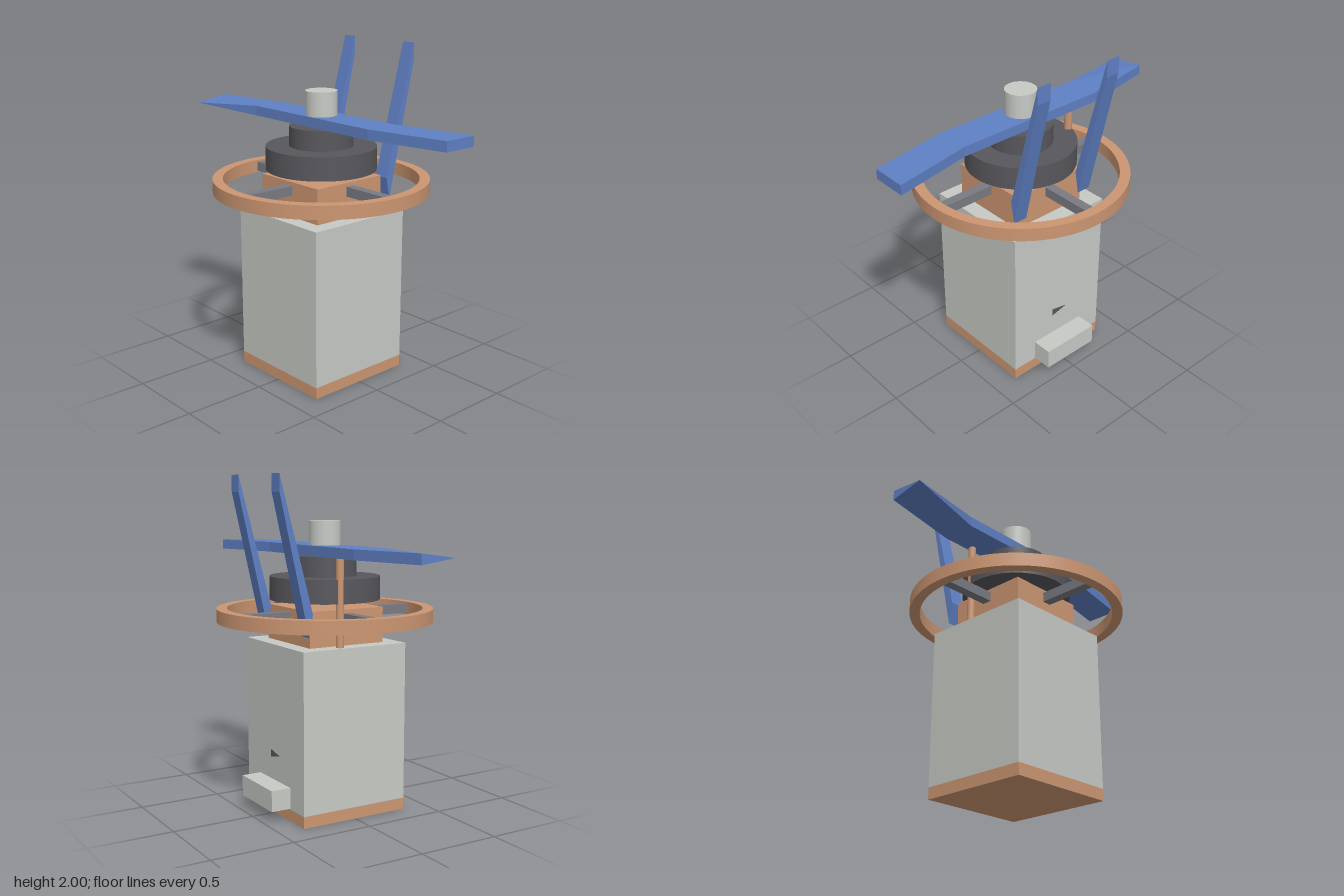
import * as THREE from 'three';

const material = (name, color, side = THREE.FrontSide) => {
  const m = new THREE.MeshStandardMaterial({ color, side });
  m.name = name;
  return m;
};

// Rotor blade lofted through four cross-sections; one tip corner is pinched to an edge
function bladeGeometry(low, high) {
  const mid = (low + high) / 2;
  // x, back z, front z, front top y, front bottom y
  const sections = [
    [-0.98, -0.02, 0.2, mid, mid],
    [-0.49, -0.11, 0.1, high, low],
    [0.49, -0.11, 0.1, high, low],
    [0.98, -0.205, 0.01, high, low],
  ].map(([x, back, front, top, bottom]) => [
    [x, high, back], [x, top, front], [x, bottom, front], [x, low, back],
  ]);
  const points = [];
  const face = (...corners) => corners.forEach((c) => points.push(...c));
  for (let s = 0; s < 3; s++) {
    for (let k = 0; k < 4; k++) {
      const n = (k + 1) % 4;
      const a = sections[s][k], b = sections[s][n];
      const c = sections[s + 1][n], d = sections[s + 1][k];
      if (k === 2) { face(a, b, d); face(b, c, d); }
      else { face(a, b, c); face(a, c, d); }
    }
  }
  const [p, q] = [sections[0], sections[3]];
  face(p[0], p[2], p[1]); face(p[0], p[3], p[2]);
  face(q[0], q[1], q[2]); face(q[0], q[2], q[3]);
  const g = new THREE.BufferGeometry();
  g.setAttribute('position', new THREE.Float32BufferAttribute(points, 3));
  g.computeVertexNormals();
  return g;
}

const polygon = (pts) => new THREE.Shape(pts.map(([x, y]) => new THREE.Vector2(x, y)));

export function createModel() {
  const model = new THREE.Group();
  model.name = 'rotorMachine';

  const paleGrey = material('paleGrey', 0xc6c9c4);
  const copper = material('copper', 0xcc9672);
  const blue = material('blue', 0x5f80c4);
  const darkGrey = material('darkGrey', 0x58575c);
  const midGrey = material('midGrey', 0x7a7b82);

  const add = (name, geometry, mat, x = 0, y = 0, z = 0, parent = model) => {
    const mesh = new THREE.Mesh(geometry, mat);
    mesh.name = name;
    mesh.position.set(x, y, z);
    parent.add(mesh);
    return mesh;
  };
  const box = (name, mat, w, y0, y1, d, x = 0, z = 0, parent = model) =>
    add(name, new THREE.BoxGeometry(w, y1 - y0, d), mat, x, (y0 + y1) / 2, z, parent);
  const cylinder = (name, mat, r, y0, y1, x = 0, z = 0) =>
    add(name, new THREE.CylinderGeometry(r, r, y1 - y0, 64), mat, x, (y0 + y1) / 2, z);

  // Square tower
  box('base', copper, 0.694, 0, 0.07, 0.694);
  box('body', paleGrey, 0.694, 0.07, 1.02, 0.694);
  box('neckBlock', copper, 0.5, 1.02, 1.23, 0.5);
  box('rearStep', paleGrey, 0.376, 0.075, 0.2, 0.123, 0, -0.4085);

  // Small triangular mark above the rear step
  const mark = new THREE.ExtrudeGeometry(
    polygon([[0.045, 0.335], [0.045, 0.38], [-0.06, 0.36]]),
    { depth: 0.004, bevelEnabled: false });
  add('rearMark', mark, darkGrey, 0, 0, -0.35);

  // Guard ring with a square-edged section
  const ringProfile = [[0.585, 1.14], [0.647, 1.14], [0.647, 1.22], [0.585, 1.22], [0.585, 1.14]];
  const ring = new THREE.Group();
  ring.name = 'guardRing';
  model.add(ring);
  for (let i = 0; i < 4; i++) {
    // one band per side keeps the edges sharp
    const band = ringProfile.slice(i, i + 2).map(([r, y]) => new THREE.Vector2(r, y));
    add('ringBand', new THREE.LatheGeometry(band, 96), copper, 0, 0, 0, ring);
  }

  // Four spokes from the neck to the ring
  for (let i = 0; i < 4; i++) {
    const arm = new THREE.Group();
    arm.name = 'spokeArm';
    arm.rotation.y = (i * Math.PI) / 2;
    model.add(arm);
    box('spoke', midGrey, 0.058, 1.15, 1.208, 0.35, 0, 0.42, arm);
  }

  // Rotor stack
  cylinder('rotorDisc', darkGrey, 0.33, 1.27, 1.41);
  cylinder('rotorHub', darkGrey, 0.19, 1.41, 1.53);
  add('blade', bladeGeometry(1.53, 1.59), blue);
  cylinder('hubCap', paleGrey, 0.094, 1.59, 1.735);
  cylinder('sideRod', copper, 0.023, 1.02, 1.53, -0.302, -0.082);

  // Pair of slanted rear struts
  const strut = new THREE.ExtrudeGeometry(
    polygon([[-0.255, 1.22], [-0.28, 1.09], [-0.463, 1.9], [-0.463, 2]]),
    { depth: 0.09, bevelEnabled: false });
  strut.rotateY(-Math.PI / 2).translate(0.045, 0, 0);
  for (const side of [1, -1]) {
    add(side > 0 ? 'leftStrut' : 'rightStrut', strut, blue, side * 0.25);
  }

  return model;
}
